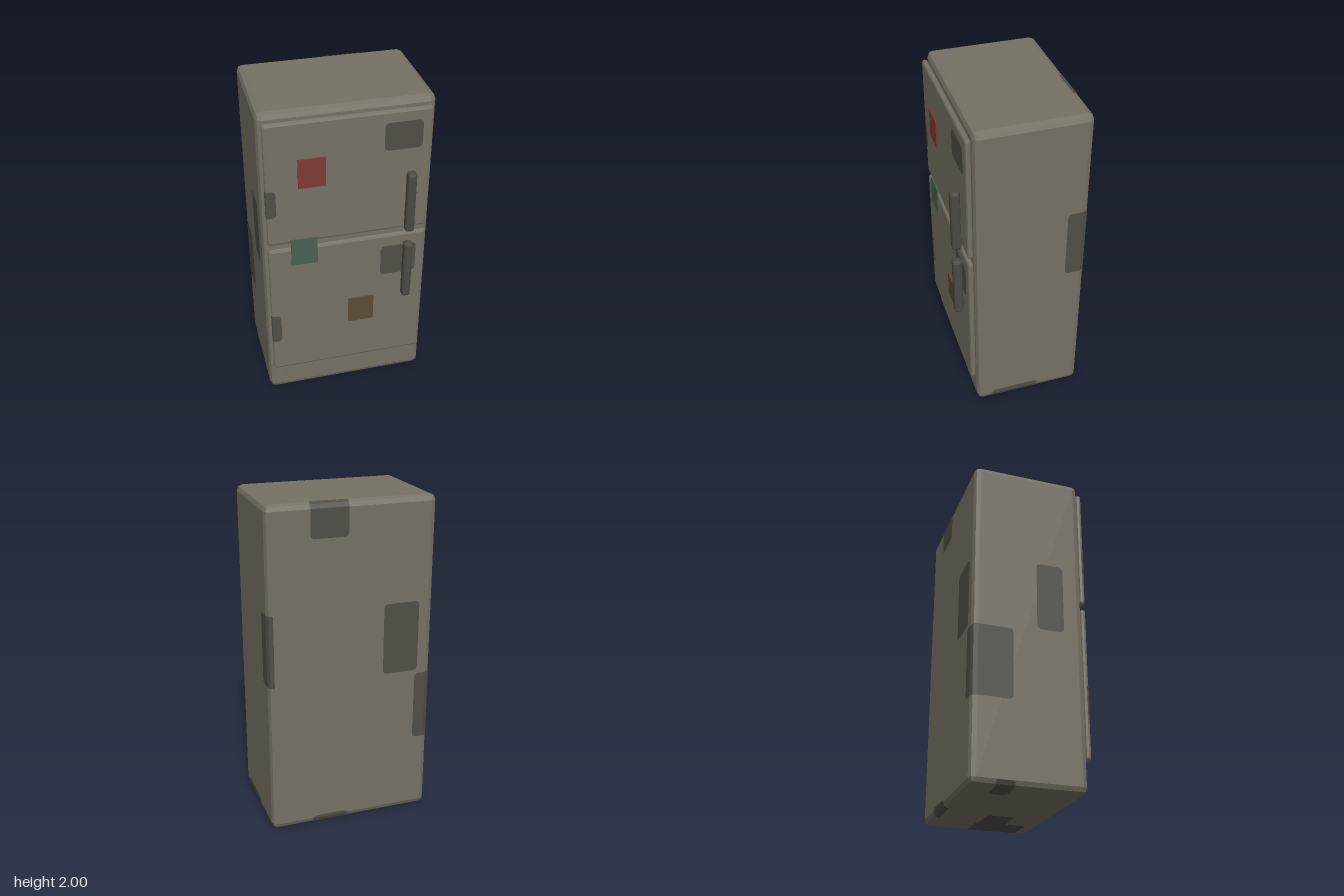
import * as THREE from 'three';

const mat = (name, color, side = THREE.FrontSide) => {
  const m = new THREE.MeshStandardMaterial({ color, side });
  m.name = name;
  return m;
};

// Solid described by its limits [min, max] on each axis and a bevel size
const solid = (x, y, z, r) => ({
  c: [x, y, z].map(([a, b]) => (a + b) / 2),
  h: [x, y, z].map(([a, b]) => (b - a) / 2),
  r,
});

// Box with a faceted two-step bevel on every edge
function bevelBox({ c, h, r }) {
  let g = new THREE.BoxGeometry(2, 2, 2, 3, 3, 3);
  const p = g.attributes.position;
  for (let i = 0; i < p.count; i++) {
    const v = [p.getX(i), p.getY(i), p.getZ(i)];
    const outer = v.map((k) => Math.abs(k) > 0.9);
    const len = Math.sqrt(outer.filter(Boolean).length);
    const q = v.map((k, a) => c[a] + Math.sign(k) * (h[a] - r + (outer[a] ? r / len : 0)));
    p.setXYZ(i, ...q);
  }
  g = g.toNonIndexed();
  g.computeVertexNormals();
  return g;
}

// Rounded stain lying on one face of a solid. a: normal axis, s: its sign,
// b: axis along which it may wrap over the bevel, d: remaining axis.
function stainPatch(box, a, s, b, [u0, u1], d, [v0, v1]) {
  const lift = 0.002, round = 0.025, r = box.r;
  const hb = box.h[b] + lift, flat = hb - r, knee = flat + r * Math.SQRT1_2;
  const lo = Math.max(u0 - box.c[b], -hb), hi = Math.min(u1 - box.c[b], hb);
  const us = [lo, hi, -knee, -flat, flat, knee];
  for (const k of [0.08, 0.3, 0.6, 1]) us.push(lo + round * k, hi - round * k);
  const list = us.filter((u) => u >= lo && u <= hi).sort((m, n) => m - n);

  const drop = (u) => {
    const t = Math.max(0, Math.abs(u) - flat) / r;
    const k = Math.SQRT1_2;
    return r * (t < k ? (t * (1 - k)) / k : 1 - k + ((t - k) * k) / (1 - k));
  };
  const inset = (u) => {
    const left = lo < -flat ? round : u - lo;
    const right = hi > flat ? round : hi - u;
    const e = round - Math.min(left, right, round);
    return round - Math.sqrt(Math.max(0, round * round - e * e));
  };
  const pos = [], idx = [];
  list.forEach((u, i) => {
    for (const v of [v0 + inset(u), v1 - inset(u)]) {
      const q = [0, 0, 0];
      q[a] = box.c[a] + s * (box.h[a] + lift - drop(u));
      q[b] = box.c[b] + u;
      q[d] = v;
      pos.push(...q);
    }
    if (i) {
      const k = 2 * i;
      idx.push(k - 2, k, k - 1, k - 1, k, k + 1);
    }
  });
  // Turn the faces outward
  if (((b - a + 3) % 3 === 1 ? 1 : -1) * s < 0) idx.reverse();
  let g = new THREE.BufferGeometry();
  g.setAttribute('position', new THREE.Float32BufferAttribute(pos, 3));
  g.setIndex(idx);
  g = g.toNonIndexed();
  g.computeVertexNormals();
  return g;
}

export function createModel() {
  const model = new THREE.Group();
  model.name = 'refrigerator';
  const enamel = mat('agedEnamel', 0x767164);
  const grime = mat('grime', 0x504e46, THREE.DoubleSide);
  const grip = mat('darkHandle', 0x4b4942);
  const red = mat('redPaper', 0x7d3a35);
  const green = mat('greenPaper', 0x466150);
  const brown = mat('brownPaper', 0x5b4c36);
  const add = (name, geometry, material) => {
    const m = new THREE.Mesh(geometry, material);
    m.name = name;
    model.add(m);
  };
  const X = 0, Y = 1, Z = 2;

  // Cabinet and doors
  const body = solid([-0.503, 0.503], [0, 2], [-0.385, 0.285], 0.035);
  const upper = solid([-0.478, 0.478], [1.17, 1.955], [0.287, 0.321], 0.0165);
  const lower = solid([-0.478, 0.478], [0.2, 1.135], [0.287, 0.321], 0.0165);
  add('cabinet', bevelBox(body), enamel);
  add('freezerDoor', bevelBox(upper), enamel);
  add('fridgeDoor', bevelBox(lower), enamel);

  // Handles
  for (const [name, y] of [['freezerHandle', [1.175, 1.572]], ['fridgeHandle', [0.69, 1.088]]])
    add(name, bevelBox(solid([0.329, 0.384], y, [0.329, 0.385], 0.016)), grip);

  // Notes stuck on the doors
  for (const [name, x, y, m] of [
    ['redNote', -0.214, 1.635, red],
    ['greenNote', -0.266, 1.11, green],
    ['brownNote', 0.083, 0.604, brown],
  ]) {
    const g = new THREE.BoxGeometry(0.156, 0.18, 0.0095);
    g.translate(x, y, 0.328);
    add(name, g, m);
  }

  // Grime stains: solid, normal axis, sign, wrap axis, range, other axis, range
  const stains = [
    [upper, Z, 1, X, [0.2, 0.42], Y, [1.71, 1.883]],
    [lower, Z, 1, X, [0.2, 0.42], Y, [0.843, 1.052]],
    [upper, Z, 1, X, [-0.6, -0.42], Y, [1.365, 1.54]],
    [lower, Z, 1, X, [-0.6, -0.42], Y, [0.433, 0.64]],
    // Right flank
    [body, X, 1, Z, [-0.6, -0.26], Y, [0.943, 1.38]],
    [body, X, 1, Y, [-0.2, 0.065], Z, [-0.112, 0.19]],
    // Left flank
    [body, X, -1, Z, [-0.6, -0.145], Y, [0.49, 0.92]],
    [body, X, -1, Z, [0.0, 0.165], Y, [0.943, 1.375]],
    // Back
    [body, Z, -1, Y, [1.8, 2.1], X, [0.025, 0.248]],
    [body, Z, -1, X, [-0.415, -0.195], Y, [0.943, 1.38]],
    [body, Z, -1, X, [-0.6, -0.4], Y, [0.49, 0.92]],
    [body, Z, -1, Y, [-0.2, 0.05], X, [0.025, 0.248]],
    // Underside
    [body, Y, -1, X, [0.28, 0.6], Z, [-0.112, 0.2]],
    [body, Y, -1, X, [0.1, 0.32], Z, [-0.1, 0.07]],
    [body, Y, -1, X, [-0.6, -0.34], Z, [-0.24, -0.135]],
  ];
  stains.forEach((s, i) => add(`stain${i + 1}`, stainPatch(...s), grime));
  return model;
}
